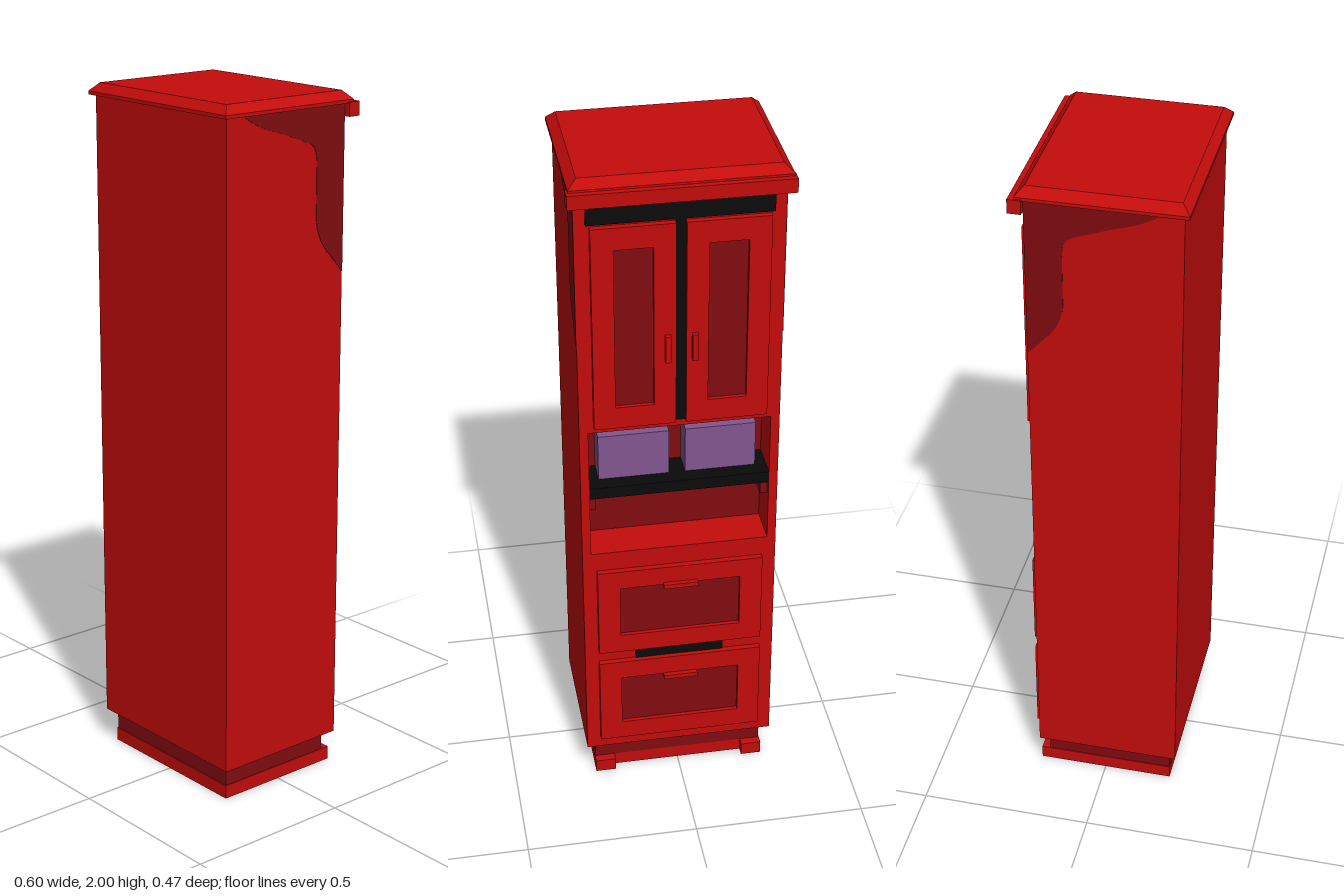
import * as THREE from 'three';

const mat = (name, color) => {
  const m = new THREE.MeshStandardMaterial({ color });
  m.name = name;
  return m;
};

export function createModel() {
  const red = mat('red lacquer', 0xc40c0c);
  const dark = mat('dark red', 0x800c0f);
  const black = mat('black', 0x0a0a0a);
  const purple = mat('purple', 0x82558f);
  const cabinet = new THREE.Group();
  cabinet.name = 'cabinet';

  const add = (name, geometry, material) => {
    const mesh = new THREE.Mesh(geometry, material);
    mesh.name = name;
    cabinet.add(mesh);
    return mesh;
  };
  // box given by its limits on each axis
  const box = (name, material, x0, x1, y0, y1, z0, z1) => add(name,
    new THREE.BoxGeometry(x1 - x0, y1 - y0, z1 - z0)
      .translate((x0 + x1) / 2, (y0 + y1) / 2, (z0 + z1) / 2), material);
  const rect = (path, x0, x1, y0, y1) => path.moveTo(x0, y0).lineTo(x1, y0)
    .lineTo(x1, y1).lineTo(x0, y1).closePath();
  // framed front with a recessed darker panel
  const framedFront = (name, x0, x1, y0, y1, mx, my) => {
    const shape = rect(new THREE.Shape(), x0, x1, y0, y1);
    shape.holes.push(rect(new THREE.Path(), x0 + mx, x1 - mx, y0 + my, y1 - my));
    const geo = new THREE.ExtrudeGeometry(shape, { depth: 0.017, bevelEnabled: false });
    add(name + 'Frame', geo.translate(0, 0, -0.217), red);
    box(name + 'Panel', dark, x0 + mx, x1 - mx, y0 + my, y1 - my, -0.205, -0.199);
  };

  // carcass, hollow at the open niche
  box('rearCarcass', red, -0.28, 0.28, 0.1, 1.97, -0.08, 0.22);
  box('upperCarcass', red, -0.28, 0.28, 1.23, 1.97, -0.2, -0.08);
  box('lowerCarcass', red, -0.28, 0.28, 0.1, 0.82, -0.2, -0.08);
  for (const s of [-1, 1]) {
    const a = s * 0.255, b = s * 0.28;
    box('nicheSide', red, Math.min(a, b), Math.max(a, b), 0.82, 1.23, -0.2, -0.08);
  }
  box('nicheBack', dark, -0.255, 0.255, 0.82, 1.23, -0.084, -0.079);

  // plinth with recessed band and front feet
  box('plinth', red, -0.255, 0.255, 0, 0.04, -0.175, 0.2);
  box('plinthBand', dark, -0.253, 0.253, 0.04, 0.1, -0.175, 0.198);
  for (const s of [-1, 1])
    box('foot', red, s * 0.225 - 0.03, s * 0.225 + 0.03, 0, 0.04, -0.2, -0.175);

  // bevelled top slab and cornice
  const slab = new THREE.BoxGeometry(0.59, 0.034, 0.455, 1, 2, 1).toNonIndexed();
  const p = slab.attributes.position;
  for (let i = 0; i < p.count; i++) {
    if (p.getY(i) > 0.01) {
      p.setX(i, p.getX(i) * 0.915);
      p.setZ(i, p.getZ(i) * 0.9);
    } else if (p.getY(i) > -0.01) p.setY(i, -0.007);
  }
  slab.computeVertexNormals();
  add('topSlab', slab.translate(0, 1.983, 0.0075), red);
  box('cornice', red, -0.3, 0.3, 1.93, 1.97, -0.237, -0.2);
  for (const s of [-1, 1])
    box('corniceReturn', red, s * 0.29 - 0.01, s * 0.29 + 0.01, 1.93, 1.97, -0.237, -0.205);

  // dark curved inlay on both sides
  const inlay = new THREE.Shape().moveTo(0.165, 1.967);
  inlay.quadraticCurveTo(0.12, 1.93, 0.04, 1.91).lineTo(-0.07, 1.87);
  inlay.quadraticCurveTo(-0.1, 1.86, -0.1, 1.81).lineTo(-0.1, 1.66);
  inlay.quadraticCurveTo(-0.105, 1.6, -0.15, 1.555).lineTo(-0.2, 1.5);
  inlay.lineTo(-0.2, 1.967).closePath();
  const inlayGeo = new THREE.ExtrudeGeometry(inlay, { depth: 0.003, bevelEnabled: false })
    .rotateY(-Math.PI / 2).translate(0.0015, 0, 0);
  for (const s of [-1, 1]) add('sideInlay', inlayGeo, dark).position.x = s * 0.28;

  // upper doors with handles
  for (const s of [-1, 1]) {
    const x0 = s > 0 ? 0.014 : -0.24, x1 = s > 0 ? 0.24 : -0.014;
    framedFront('door', x0, x1, 1.25, 1.86, 0.06, 0.065);
    box('doorHandle', red, s * 0.037 - 0.008, s * 0.037 + 0.008, 1.45, 1.53, -0.231, -0.217);
  }
  box('doorGap', black, -0.014, 0.014, 1.25, 1.865, -0.203, -0.199);
  box('headGap', black, -0.25, 0.25, 1.865, 1.925, -0.204, -0.199);

  // drawers with slim pulls
  for (const [y, pull] of [[0.14, 0.365], [0.47, 0.7]]) {
    framedFront('drawer', -0.24, 0.24, y, y + 0.29, 0.065, 0.06);
    box('drawerPull', red, -0.05, 0.05, pull - 0.007, pull + 0.007, -0.231, -0.205);
  }
  box('drawerGap', black, -0.13, 0.13, 0.43, 0.47, -0.203, -0.199);

  // niche shelf, its brackets and storage boxes
  box('shelf', black, -0.255, 0.255, 1.01, 1.045, -0.2, -0.084);
  for (const s of [-1, 1]) {
    box('shelfBracket', dark, s * 0.245 - 0.01, s * 0.245 + 0.01, 0.96, 1.01, -0.18, -0.084);
    const x = s * 0.123;
    box('storageBox', purple, x - 0.1, x + 0.1, 1.045, 1.185, -0.155, -0.084);
  }
  return cabinet;
}
